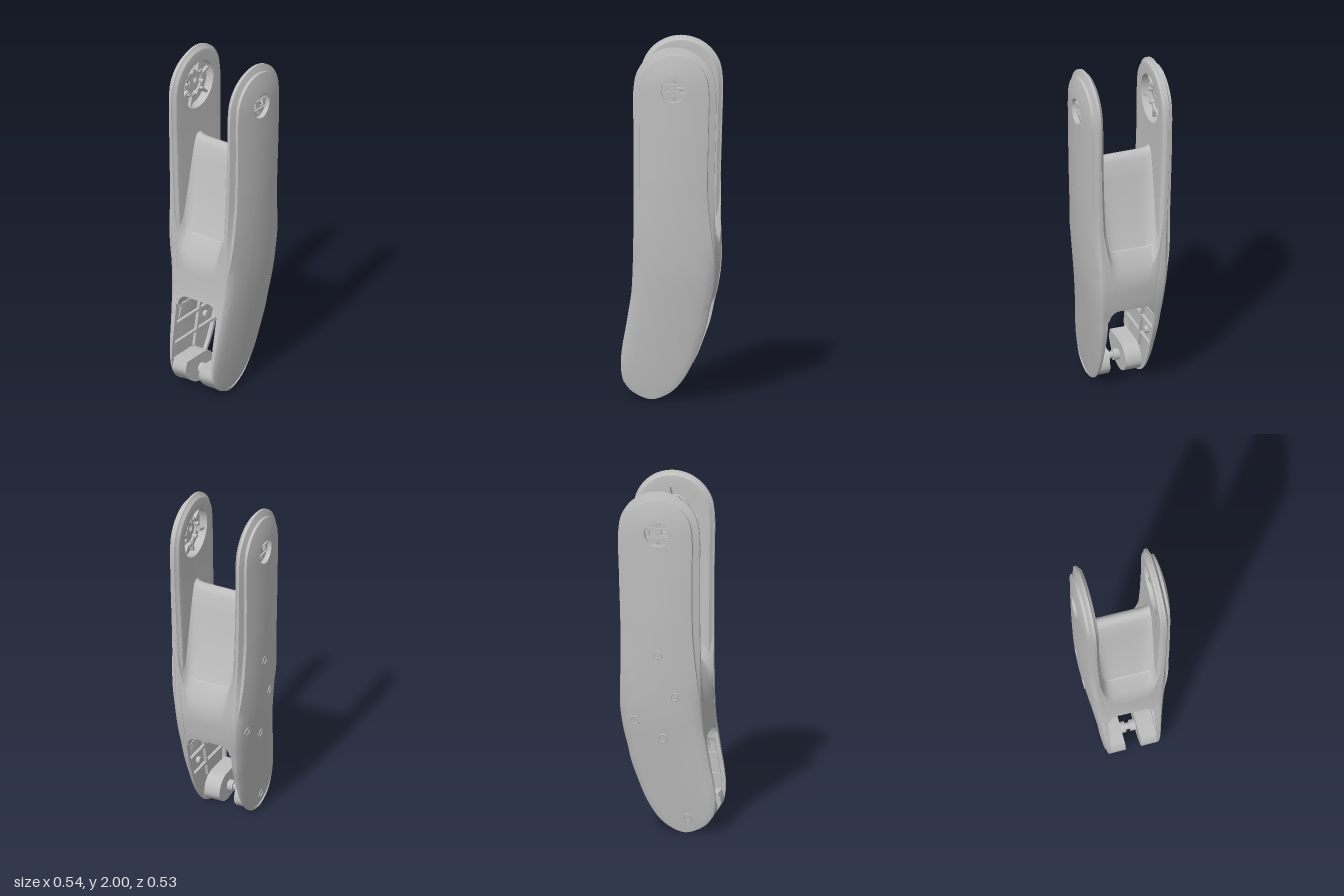
import * as THREE from 'three';
import { toCreasedNormals } from 'three/addons/utils/BufferGeometryUtils.js';

const HUB = { x: 0.035, y: 1.77, r: 0.23 };
// y, left edge x, right edge x, inner face z, outer face z
const ROWS = [
  [0.02, -0.17, -0.03, 0.135, 0.145], [0.06, -0.228, 0.03, 0.135, 0.15], [0.12, -0.262, 0.08, 0.135, 0.157],
  [0.2, -0.272, 0.125, 0.135, 0.168], [0.3, -0.263, 0.165, 0.135, 0.18], [0.4, -0.245, 0.2, 0.136, 0.193],
  [0.5, -0.228, 0.222, 0.138, 0.205], [0.6, -0.212, 0.245, 0.14, 0.218], [0.72, -0.204, 0.261, 0.143, 0.232],
  [0.85, -0.2, 0.261, 0.147, 0.242], [1, -0.197, 0.256, 0.153, 0.25], [1.25, -0.195, 0.256, 0.164, 0.259],
  [1.5, -0.195, 0.262, 0.172, 0.262], [1.77, -0.195, 0.265, 0.175, 0.263],
];
const sample = (y, col) => {
  if (y <= ROWS[0][0]) return ROWS[0][col];
  for (let i = 1; i < ROWS.length; i++) {
    const a = ROWS[i - 1], b = ROWS[i];
    if (y <= b[0]) return a[col] + (b[col] - a[col]) * (y - a[0]) / (b[0] - a[0]);
  }
  return ROWS[ROWS.length - 1][col];
};
const { clamp, lerp, smoothstep } = THREE.MathUtils;
const spineY = y => clamp(y, 0.15, HUB.y);
const mid = y => (sample(y, 1) + sample(y, 2)) / 2;
const half = y => (sample(y, 2) - sample(y, 1)) / 2;
// 0 on the outline, 1 on the centre line
const inset = (x, y) => {
  const c = spineY(y);
  return clamp(1 - Math.hypot((x - mid(c)) / half(c), (y - c) / (y > c ? HUB.r : 0.15)), 0, 1);
};
// Rim width, narrowing to nothing where the cover panel runs out
const rim = y => lerp(0.2, 1, smoothstep(y, 0.74, 1.25));

// Outer skin: stepped cover panel above, plain rounded shell below
function outerZ(f, y) {
  const zi = sample(y, 3), t = sample(y, 4) - zi, s = smoothstep(y, 0.7, 1);
  const e = 0.16 * rim(y), g = clamp((f - e) / (1 - e), 0, 1);
  const stepped = f < e ? 0.4 + 0.16 * f / e : 0.72 + 0.28 * (1 - (1 - g) ** 2);
  const round = 0.38 + 0.62 * Math.sqrt(1 - (1 - f) ** 2);
  return zi + t * lerp(round, stepped, s);
}
// Inner skin: chamfered edge above, shallow pocket below
function innerZ(f, y) {
  const zi = sample(y, 3), s = smoothstep(y, 0.6, 1);
  const pocket = 0.018 * smoothstep(f, 0.1, 0.14) * (1 - smoothstep(y, 0.45, 0.5));
  return zi + s * 0.02 * (1 - smoothstep(f, 0, 0.12)) + pocket;
}

// Skin over closed rings of points
function loft(rings, side = 1, crease = 0.5) {
  const n = rings[0].length, pos = [], idx = [];
  rings.forEach(r => r.forEach(p => pos.push(p[0], p[1], p[2] * side)));
  for (let k = 0; k < rings.length - 1; k++) for (let j = 0; j < n; j++) {
    const a = k * n + j, b = k * n + (j + 1) % n, c = a + n, d = b + n;
    if (side > 0) idx.push(a, b, c, b, d, c); else idx.push(a, c, b, b, c, d);
  }
  const g = new THREE.BufferGeometry();
  g.setAttribute('position', new THREE.Float32BufferAttribute(pos, 3));
  g.setIndex(idx);
  return toCreasedNormals(g, crease);
}

function outline() {
  const pts = [[-0.1, 0]];
  ROWS.forEach(r => pts.push([r[2], r[0]]));
  for (let i = 1; i < 8; i++) {
    const a = i * Math.PI / 8;
    pts.push([HUB.x + HUB.r * Math.cos(a), HUB.y + HUB.r * Math.sin(a)]);
  }
  [...ROWS].reverse().forEach(r => pts.push([r[1], r[0]]));
  const curve = new THREE.CatmullRomCurve3(pts.map(p => new THREE.Vector3(p[0], p[1], 0)), true);
  return curve.getSpacedPoints(200).slice(0, 200);
}

function plateGeometry(side) {
  const edge = outline();
  const toSpine = (p, f) => {
    const c = spineY(p.y);
    return [lerp(p.x, mid(c), f), lerp(p.y, c, f)];
  };
  const ring = (f, zFn, scale = () => 1) => edge.map(p => {
    const ff = f * scale(p.y), q = toSpine(p, ff);
    return [...q, zFn(ff, q[1])];
  });
  // rings running from the inset outline to the hub hole
  const hubRing = (f0, k, radius, zFn) => edge.map(p => {
    const q = toSpine(p, f0), a = Math.atan2(q[1] - HUB.y, q[0] - HUB.x);
    const x = lerp(q[0], HUB.x + radius * Math.cos(a), k), y = lerp(q[1], HUB.y + radius * Math.sin(a), k);
    const f = clamp(inset(x, y) + (f0 - inset(...q)) * (1 - k), 0, 1);
    return [x, y, zFn(f, y)];
  });
  const rings = [hubRing(0.3, 1, 0.14, () => 0.225)];
  for (let k = 14; k > 0; k--) rings.push(hubRing(0.3, k / 14, 0.14, innerZ));
  [0.3, 0.14, 0.1, 0.05, 0.02, 0].forEach(f => rings.push(ring(f, innerZ)));
  [0, 0.04, 0.1, 0.157, 0.167].forEach(f => rings.push(ring(f, outerZ, rim)));
  [0.18, 0.21, 0.25, 0.32].forEach(f => rings.push(ring(f, outerZ)));
  for (let k = 1; k <= 20; k++) rings.push(hubRing(0.32, k / 20, 0.073, outerZ));
  rings.push(hubRing(0.32, 1, 0.073, () => 0.232));
  return loft(rings, side);
}

// Solid bridge: arch over the lower slot, U-shaped ledge and tapering web panel
function bridgeGeometry() {
  const rings = [], N = 56;
  for (let i = 0; i <= N; i++) {
    const u = -1 + 2 * i / N, w = Math.abs(u), z = w * 0.165;
    const over = clamp((z - 0.07) / 0.065, 0, 1);
    const yb = 0.505 + 0.065 * Math.sqrt(1 - over * over);
    const yr = 0.75 + 0.03 * w * w + 0.4 * w ** 7;
    const yf = Math.max(0.93 + 0.3 * w ** 8, yr + 0.03);
    const yt = 1.46 + 0.06 * w ** 9;
    const bulge = 0.006 * (1 - w * w) - 0.003;
    const right = [], left = [];
    for (let k = 0; k <= 6; k++) {
      const y = lerp(yb, yr, k / 6);
      right.push([sample(y, 2) + bulge, y]);
      left.push([sample(y, 1) - bulge, y]);
    }
    const flare = 0.03 * w ** 4, up = k => lerp(yf, yt, k);
    [[0.222, lerp(yr, yf, 0.45)], [0.17 + flare, yf], [0.162 + flare, yf + 0.003], [0.135 + flare, up(0.15)],
      [0.09 + flare, up(0.45)], [0.058 + flare / 2, up(0.75)], [0.038, up(0.93)], [0.026, up(0.975)],
      [0.012, up(0.996)]].forEach(([dx, y]) => {
      right.push([HUB.x + dx, y]);
      left.push([HUB.x - dx, y]);
    });
    const loop = [...right, [HUB.x, yt], ...left.reverse()];
    rings.push(loop.map(([x, y]) => {
      const zi = sample(y, 3);
      return [x, y, u * (zi + 0.3 * (sample(y, 4) - zi))];
    }));
  }
  return loft(rings, 1, 0.6);
}

export function createModel() {
  const model = new THREE.Group();
  const grey = new THREE.MeshStandardMaterial({ color: 0xbebebe });
  grey.name = 'satinGrey';
  const add = (name, geo, x = 0, y = 0, z = 0, parent = model) => {
    const m = new THREE.Mesh(geo, grey);
    m.name = name;
    m.position.set(x, y, z);
    parent.add(m);
    return m;
  };
  const rod = (r, len) => new THREE.CylinderGeometry(r, r, len, 28).rotateX(Math.PI / 2);
  add('bridge', bridgeGeometry());

  // Hub disc with two square windows
  const disc = new THREE.Shape().absarc(0, 0, 0.142, 0, Math.PI * 2);
  for (const s of [-1, 1]) {
    const x = s * 0.032, h = 0.015;
    disc.holes.push(new THREE.Path([[-h, -h], [-h, h], [h, h], [h, -h]].map(([a, b]) => new THREE.Vector2(x + a, b))));
  }
  const discGeo = new THREE.ExtrudeGeometry(disc, { depth: 0.012, bevelEnabled: false, curveSegments: 32 });

  // Pivot boss follows the rounded foot
  const boss = new THREE.Shape().moveTo(-0.1, 0.18);
  boss.lineTo(-0.25, 0.18);
  boss.splineThru([[-0.264, 0.12], [-0.228, 0.063], [-0.17, 0.024], [-0.1, 0.01], [-0.04, 0.025], [0, 0.07], [-0.01, 0.13],
    [-0.05, 0.17], [-0.1, 0.18]].map(p => new THREE.Vector2(...p)));
  const bossGeo = toCreasedNormals(
    new THREE.ExtrudeGeometry(boss, { depth: 0.095, bevelEnabled: false, curveSegments: 5 }), 0.6);

  for (const s of [-1, 1]) {
    const name = s > 0 ? 'front' : 'back';
    add(name + 'Plate', plateGeometry(s));
    const hub = new THREE.Group();
    hub.name = name + 'Hub';
    hub.position.set(HUB.x, HUB.y, 0);
    model.add(hub);
    add('hubDisc', discGeo, 0, 0, s > 0 ? 0.222 : -0.234, hub);
    add('hubRing', new THREE.TorusGeometry(0.078, 0.009, 8, 36), 0, 0, s * 0.215, hub);
    for (const y of [-1, 1]) {
      add('hubBar', new THREE.BoxGeometry(0.132, 0.006, 0.01), 0, y * 0.026, s * 0.238, hub);
      add('hubScrew', new THREE.TorusGeometry(0.008, 0.003, 8, 20), 0, y * 0.05, s * 0.234, hub);
    }
    for (let i = 0; i < 6; i++) {
      const a = i * Math.PI / 3 + 0.3, tall = i % 2 ? 0.036 : 0.022;
      add('hubRib', new THREE.BoxGeometry(0.065, 0.014, tall), 0.108 * Math.cos(a), 0.108 * Math.sin(a),
        s * (0.224 - tall / 2), hub).rotation.z = a;
      add('hubPeg', rod(0.011, 0.03), 0.075 * Math.cos(a + 0.5), 0.075 * Math.sin(a + 0.5), s * 0.209, hub);
    }
    add(name + 'Boss', bossGeo, 0, 0, s > 0 ? 0.045 : -0.14);
    add(name + 'PinTip', rod(0.032, 0.035), -0.12, 0.09, s * 0.03);

    // Stiffening ribs in the lower pockets
    for (const y of [0.26, 0.38, 0.48]) {
      add('crossRib', new THREE.BoxGeometry(half(y) * 1.8, 0.014, 0.024), mid(y), y, s * 0.148);
    }
    add('longRib', new THREE.BoxGeometry(0.014, 0.34, 0.024), -0.015, 0.34, s * 0.148).rotation.z = -0.2;
    add('ribPeg', rod(0.02, 0.03), 0.06, 0.32, s * 0.147);
  }
  add('pivotPin', rod(0.02, 0.1), -0.12, 0.09, 0);
  add('slotBar', rod(0.028, 0.29), 0.01, 0.55, 0);

  // Screw seats on the back plate
  for (const [x, y] of [[0.034, 1.06], [-0.06, 0.815], [0.01, 0.566], [0.17, 0.66], [-0.117, 0.09]]) {
    const z = (a, b) => -outerZ(inset(a, b), b), e = 0.01;
    const normal = new THREE.Vector3((z(x + e, y) - z(x - e, y)) / (2 * e), (z(x, y + e) - z(x, y - e)) / (2 * e), -1).normalize();
    add('screwSeat', new THREE.TorusGeometry(0.022, 0.004, 8, 24), x, y, z(x, y))
      .quaternion.setFromUnitVectors(new THREE.Vector3(0, 0, 1), normal);
  }
  return model;
}
